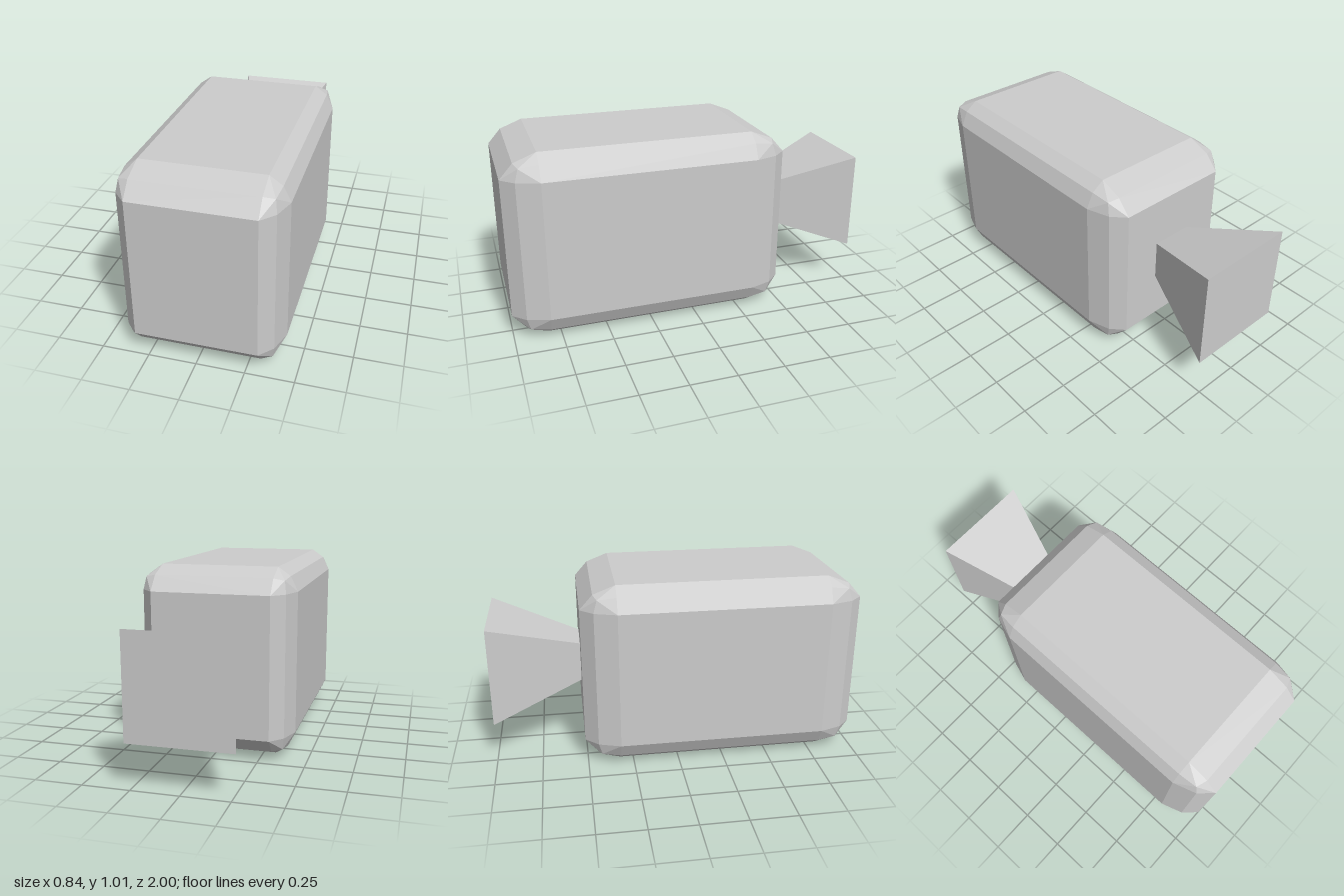
import * as THREE from 'three';
import { ConvexGeometry } from 'three/addons/geometries/ConvexGeometry.js';

// Box with every edge bevelled in two steps; the bevel depth differs per axis.
function bevelledBox(min, max, bevel) {
  const mid = 0.63, centre = 0.53;
  // bevel fractions for the seven points of one rounded corner
  const corner = [
    [1, 0, 0], [0, 1, 0], [0, 0, 1],
    [mid, mid, 0], [mid, 0, mid], [0, mid, mid],
    [centre, centre, centre],
  ];
  const points = [];
  for (const sx of [-1, 1]) for (const sy of [-1, 1]) for (const sz of [-1, 1]) {
    const place = (s, axis, f) => (s > 0 ? max[axis] : min[axis]) - s * bevel[axis] * (1 - f);
    for (const [fx, fy, fz] of corner) {
      points.push(new THREE.Vector3(place(sx, 0, fx), place(sy, 1, fy), place(sz, 2, fz)));
    }
  }
  return new ConvexGeometry(points);
}

export function createModel() {
  const group = new THREE.Group();
  const grey = new THREE.MeshStandardMaterial({ color: 0xcccccc, flatShading: true });
  grey.name = 'light grey';

  // bevelled main body
  const body = new THREE.Mesh(
    bevelledBox([-0.42, 0, -0.512], [0.42, 1.008, 1], [0.105, 0.126, 0.19]), grey);
  body.name = 'body';
  group.add(body);

  // square horn widening towards the back, its narrow end sunk slightly into the body
  const wide = 0.273, narrow = 0.104, front = -0.494, back = -1;
  const horn = new THREE.CylinderGeometry(wide * Math.SQRT2, narrow * Math.SQRT2, front - back, 4, 1);
  horn.rotateY(Math.PI / 4).rotateX(-Math.PI / 2);
  const rearHorn = new THREE.Mesh(horn, grey);
  rearHorn.name = 'rearHorn';
  rearHorn.position.set(0, 0.506, (front + back) / 2);
  group.add(rearHorn);

  return group;
}
